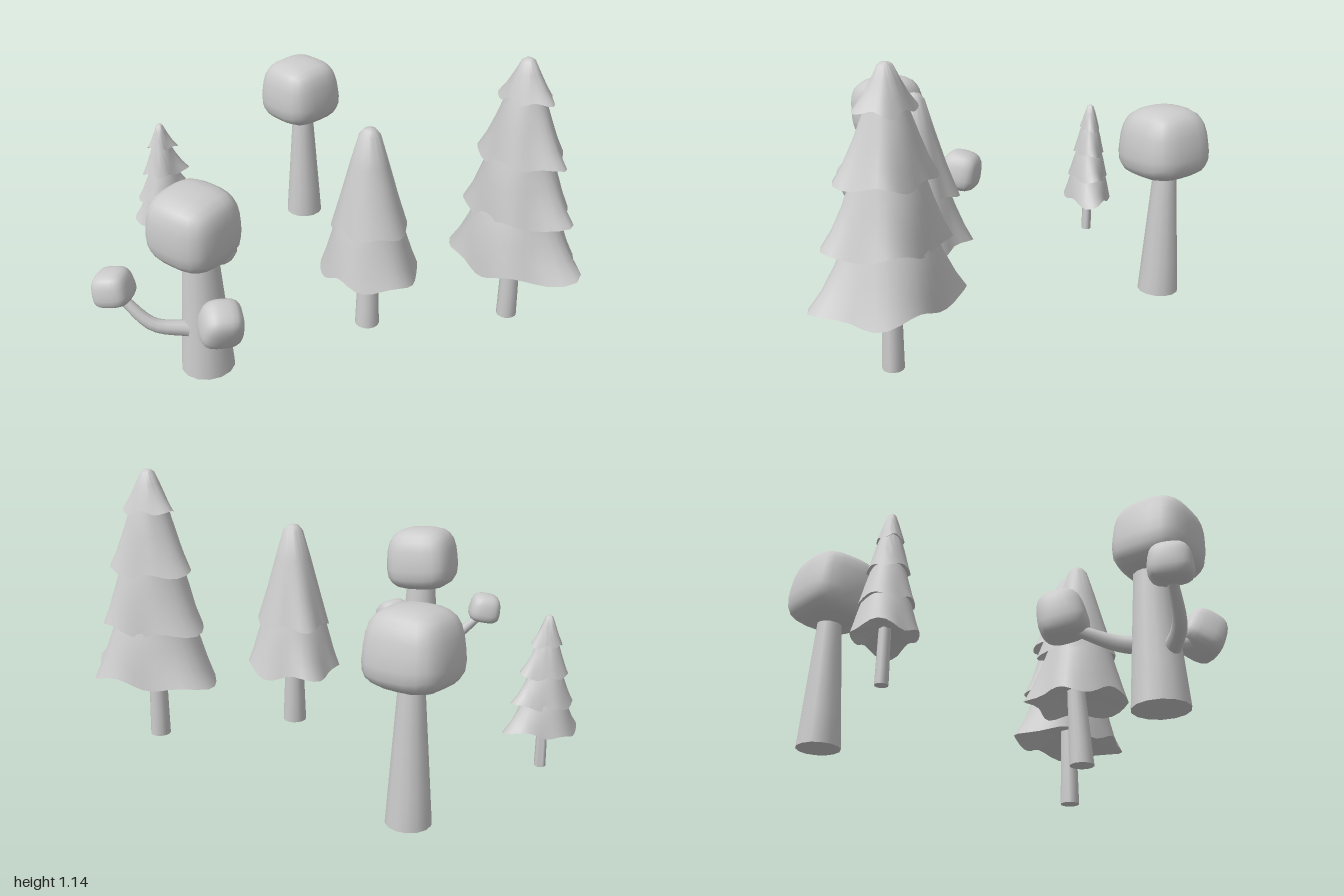
import * as THREE from 'three';
import { mergeVertices, toCreasedNormals } from 'three/addons/utils/BufferGeometryUtils.js';

const material = new THREE.MeshStandardMaterial({ color: 0xcccccc });
const V = (x, y, z) => new THREE.Vector3(x, y, z);

function addMesh(parent, name, geometry) {
  const mesh = new THREE.Mesh(geometry, material);
  mesh.name = name;
  parent.add(mesh);
  return mesh;
}

// Periodic smooth interpolation of evenly spaced radii
function sampleLoop(values, t) {
  const n = values.length, f = t * n, i = Math.floor(f), u = f - i;
  const [a, b, c, d] = [-1, 0, 1, 2].map((k) => values[(i + k + n) % n]);
  return b + 0.5 * u * (c - a + u * (2 * a - 5 * b + 4 * c - d + u * (3 * (b - c) + d - a)));
}

// One skirt of a pine: smooth at the top, ragged at the hem, closed underneath.
// rows: [height fraction, radius blend, how much of the ragged outline applies]
function skirtGeometry({ outline, scale, top, topRadius, hem, wave, phase, tip }) {
  const columns = 36;
  const rows = tip
    ? [[1, 0, 0], [0.985, 0.16, 0], [0.93, 0.28, 0], [0.65, 0.5, 0.2], [0.3, 0.76, 0.6], [0, 1, 1]]
    : [[1, 0, 0], [0.75, 0.26, 0.3], [0.5, 0.5, 0.55], [0.22, 0.76, 0.8], [0, 1, 1]];
  const mean = outline.reduce((s, r) => s + r, 0) / outline.length;
  const positions = [], indices = [];
  const height = top - hem;
  const ring = (f) => { for (let i = 0; i < columns; i++) positions.push(...f(i / columns)); };
  const point = (t, r, y) => [r * Math.cos(t * 2 * Math.PI), y, r * Math.sin(t * 2 * Math.PI)];
  const hemDrop = (t) => {
    const a = t * 2 * Math.PI;
    return wave * (Math.cos(5 * a + phase) + 0.7 * Math.sin(a + phase * 0.3) + 0.5 * Math.sin(3 * a + phase));
  };
  const hemRadius = (t, ragged) => scale * THREE.MathUtils.lerp(mean, sampleLoop(outline, t), ragged);
  for (const [h, blend, ragged] of rows) {
    ring((t) => point(t, THREE.MathUtils.lerp(topRadius, hemRadius(t, ragged), blend),
      hem + h * height + hemDrop(t) * ragged * ragged));
  }
  // Underside, rising towards the trunk
  ring((t) => point(t, hemRadius(t, 0.8) * 0.55, hem + height * 0.14 + hemDrop(t) * 0.4));
  ring((t) => point(t, 0, hem + height * 0.22));
  for (let j = 0; j < rows.length + 1; j++) {
    for (let i = 0; i < columns; i++) {
      const a = j * columns + i, b = j * columns + (i + 1) % columns;
      indices.push(a, b, a + columns, b, b + columns, a + columns);
    }
  }
  const geometry = new THREE.BufferGeometry();
  geometry.setAttribute('position', new THREE.Float32BufferAttribute(positions, 3));
  geometry.setIndex(indices);
  return toCreasedNormals(geometry, 0.9);
}

// Tapered trunk whose top is shifted by (dx, dz)
function addTrunk(parent, rBottom, rTop, height, dx = 0, dz = 0) {
  const geometry = new THREE.CylinderGeometry(rTop, rBottom, height, 14, 4);
  geometry.translate(0, height / 2, 0);
  const p = geometry.attributes.position;
  for (let i = 0; i < p.count; i++) {
    const t = p.getY(i) / height;
    p.setX(i, p.getX(i) + dx * t);
    p.setZ(i, p.getZ(i) + dz * t);
  }
  geometry.computeVertexNormals();
  return addMesh(parent, 'trunk', toCreasedNormals(geometry, 0.9));
}

// Rounded block of leaves, a little wider towards the bottom
function addCrown(parent, name, center, size, rotation, taper = 0.1) {
  let geometry = new THREE.BoxGeometry(2, 2, 2, 6, 6, 6);
  geometry.deleteAttribute('uv');
  geometry.deleteAttribute('normal');
  geometry = mergeVertices(geometry);
  const p = geometry.attributes.position;
  const v = V(0, 0, 0);
  for (let i = 0; i < p.count; i++) {
    v.fromBufferAttribute(p, i);
    const k = 3.2;
    v.divideScalar((Math.abs(v.x) ** k + Math.abs(v.y) ** k + Math.abs(v.z) ** k) ** (1 / k));
    const w = 1 - taper * v.y;
    p.setXYZ(i, v.x * w * size[0], v.y * size[1], v.z * w * size[2]);
  }
  geometry.computeVertexNormals();
  const crown = addMesh(parent, name, geometry);
  crown.position.copy(center);
  crown.rotation.set(...rotation);
}

// Curved branch that thins towards its end
function addBranch(parent, points, rStart, rEnd) {
  const curve = new THREE.CatmullRomCurve3(points);
  const steps = 10, sides = 10;
  const geometry = new THREE.TubeGeometry(curve, steps, rStart, sides);
  const p = geometry.attributes.position, v = V(0, 0, 0);
  for (let i = 0; i < p.count; i++) {
    const t = Math.floor(i / (sides + 1)) / steps;
    const c = curve.getPointAt(t);
    v.fromBufferAttribute(p, i).sub(c);
    v.multiplyScalar(THREE.MathUtils.lerp(1, rEnd / rStart, t)).add(c);
    p.setXYZ(i, v.x, v.y, v.z);
  }
  addMesh(parent, 'branch', geometry);
}

// tiers: [top, top radius, hem height, outline scale], from the top down
function createPine(name, { x, z, trunk, outline, tiers, wave }) {
  const pine = new THREE.Group();
  pine.name = name;
  pine.position.set(x, 0, z);
  addTrunk(pine, ...trunk);
  tiers.forEach(([top, topRadius, hem, scale], i) => {
    addMesh(pine, 'foliageTier', skirtGeometry({
      outline, scale, top, topRadius, hem, wave: wave * (0.4 + 0.6 * scale), phase: 1 + i * 1.3, tip: i === 0,
    }));
  });
  return pine;
}

export function createModel() {
  const grove = new THREE.Group();
  grove.name = 'grove';

  // Pines
  grove.add(createPine('tallPine', {
    x: 0.74, z: -0.06, trunk: [0.042, 0.034, 0.42], wave: 0.014,
    outline: [0.25, 0.32, 0.23, 0.21, 0.19, 0.2, 0.25, 0.3, 0.24, 0.2, 0.22, 0.26],
    tiers: [[1.14, 0, 0.98, 0.4], [1.03, 0.06, 0.735, 0.65], [0.8, 0.11, 0.5, 0.82], [0.57, 0.14, 0.285, 1]],
  }));
  grove.add(createPine('middlePine', {
    x: 0.195, z: 0.175, trunk: [0.05, 0.034, 0.4, -0.005, -0.02], wave: 0.014,
    outline: [0.2, 0.22, 0.2, 0.19, 0.17, 0.18, 0.2, 0.19, 0.235, 0.18, 0.2, 0.2],
    tiers: [[0.885, 0, 0.465, 0.77], [0.55, 0.11, 0.265, 1]],
  }));
  grove.add(createPine('smallPine', {
    x: -0.86, z: -0.15, trunk: [0.023, 0.02, 0.24], wave: 0.009,
    outline: [0.12, 0.1, 0.11, 0.12, 0.12, 0.145, 0.13, 0.12, 0.11, 0.1, 0.125, 0.18],
    tiers: [[0.63, 0, 0.515, 0.42], [0.55, 0.03, 0.395, 0.65], [0.43, 0.05, 0.275, 0.83], [0.32, 0.07, 0.165, 1]],
  }));

  // Plain round tree
  const roundTree = new THREE.Group();
  roundTree.name = 'roundTree';
  roundTree.position.set(-0.37, 0, -0.685);
  addTrunk(roundTree, 0.085, 0.045, 0.56);
  addCrown(roundTree, 'crown', V(-0.005, 0.655, 0.015), [0.157, 0.145, 0.157], [0.05, -0.5, 0]);
  grove.add(roundTree);

  // Round tree with three branches
  const branchedTree = new THREE.Group();
  branchedTree.name = 'branchedTree';
  branchedTree.position.set(-0.325, 0, 0.625);
  addTrunk(branchedTree, 0.105, 0.063, 0.56, -0.005, -0.005);
  addCrown(branchedTree, 'crown', V(-0.005, 0.64, 0.03), [0.152, 0.143, 0.147], [0.05, -0.3, -0.06], 0.06);
  const limbs = [
    { path: [V(0, 0.24, -0.04), V(-0.03, 0.255, -0.14), V(-0.08, 0.3, -0.26)], r: [0.036, 0.022],
      crown: V(-0.095, 0.36, -0.315), size: [0.09, 0.09, 0.088], turn: [-0.2, 0.15, 0.1] },
    { path: [V(-0.04, 0.2, 0.06), V(-0.16, 0.23, 0.115), V(-0.28, 0.335, 0.125)], r: [0.032, 0.019],
      crown: V(-0.305, 0.38, 0.128), size: [0.072, 0.067, 0.075], turn: [0, 0.1, 0.15] },
    { path: [V(0.02, 0.24, 0.03), V(0.07, 0.26, 0.08), V(0.12, 0.3, 0.13)], r: [0.034, 0.022],
      crown: V(0.13, 0.31, 0.135), size: [0.08, 0.085, 0.08], turn: [0.55, 0.5, -0.4] },
  ];
  for (const { path, r, crown, size, turn } of limbs) {
    addBranch(branchedTree, path, ...r);
    addCrown(branchedTree, 'branchCrown', crown, size, turn);
  }
  grove.add(branchedTree);

  return grove;
}
